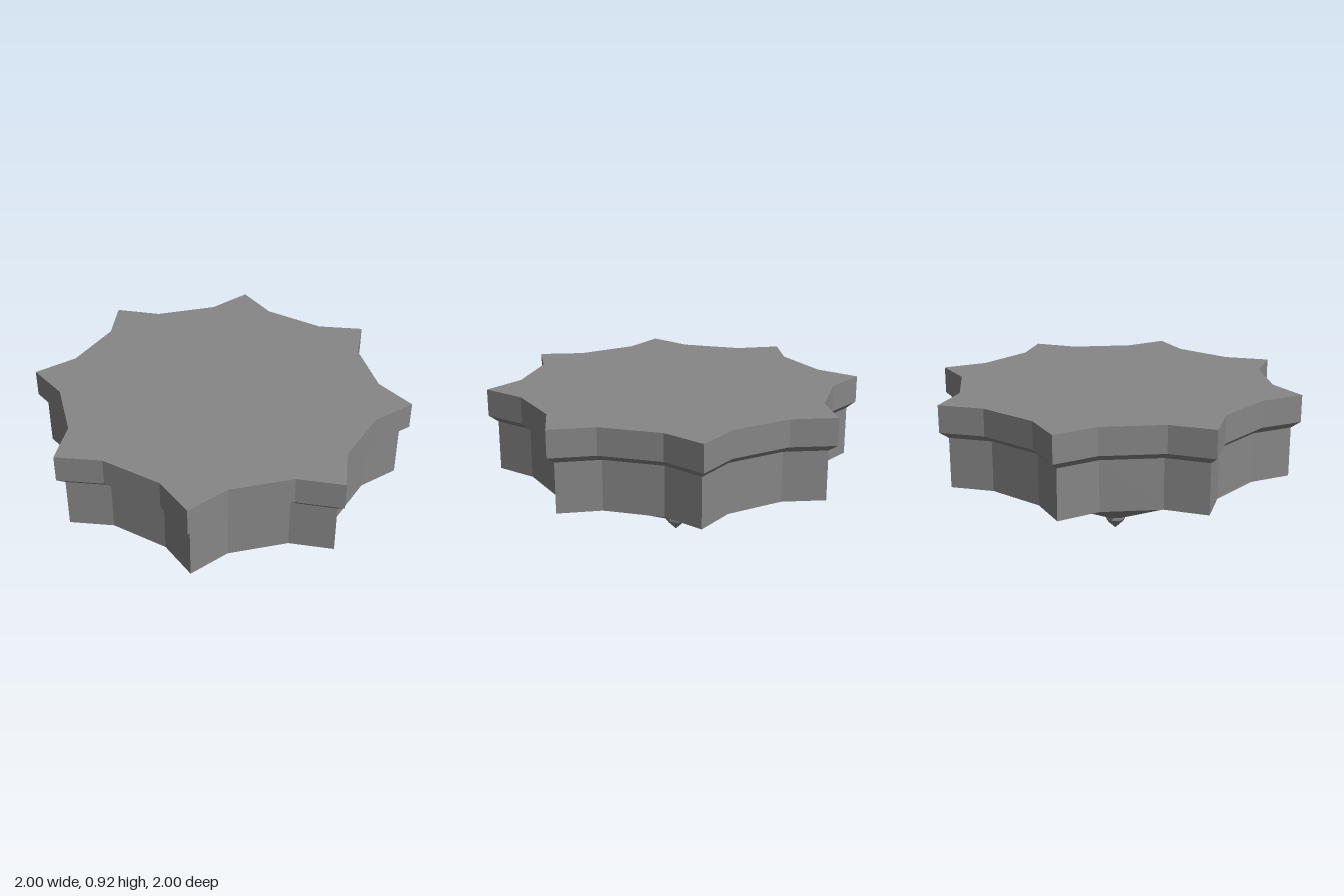
import * as THREE from 'three';

const material = new THREE.MeshStandardMaterial({ color: 0x868686, flatShading: true });

// Eight-pointed outline: each 45 degree step has a valley corner, a tip and a valley corner
const outline = [];
for (let i = 0; i < 8; i++) {
  for (const [deg, r] of [[11.3, 0.908], [22.5, 1.082], [33.7, 0.908]]) {
    const a = THREE.MathUtils.degToRad(i * 45 + deg);
    outline.push([r * Math.cos(a), r * Math.sin(a)]);
  }
}

// Skin between scaled copies of the outline, listed from bottom to top as [scale, y]
function loft(name, rings) {
  const positions = [];
  const corner = ([s, y], i) => {
    const [x, z] = outline[i % outline.length];
    return [x * s, y, z * s];
  };
  for (let k = 0; k < rings.length - 1; k++) {
    const lo = rings[k], hi = rings[k + 1];
    for (let i = 0; i < outline.length; i++) {
      if (hi[0] > 0) positions.push(...corner(lo, i), ...corner(hi, i), ...corner(hi, i + 1));
      positions.push(...corner(lo, i), ...corner(hi, i + 1), ...corner(lo, i + 1));
    }
  }
  const geometry = new THREE.BufferGeometry();
  geometry.setAttribute('position', new THREE.Float32BufferAttribute(positions, 3));
  geometry.computeVertexNormals();
  const mesh = new THREE.Mesh(geometry, material);
  mesh.name = name;
  return mesh;
}

export function createModel() {
  const group = new THREE.Group();
  group.name = 'starPendant';

  // Small eight-sided knob at the bottom
  const profile = [[0, 0], [0.042, 0.04], [0.06, 0.063], [0.06, 0.08], [0, 0.08]];
  const finial = new THREE.Mesh(
    new THREE.LatheGeometry(profile.map(([r, y]) => new THREE.Vector2(r, y)), 8, Math.PI / 8),
    material,
  );
  finial.name = 'finial';

  group.add(
    finial,
    // Fluted cone flaring up to the body
    loft('cone', [[0.055, 0.08], [0.78, 0.442]]),
    // Straight body with its flat underside rim
    loft('body', [[0.78, 0.442], [0.95, 0.442], [0.95, 0.728]]),
    // Sloped moulding under the slab
    loft('moulding', [[0.95, 0.728], [1, 0.765]]),
    // Top slab with flat lid
    loft('topSlab', [[1, 0.765], [1, 0.92], [0, 0.92]]),
  );
  return group;
}
